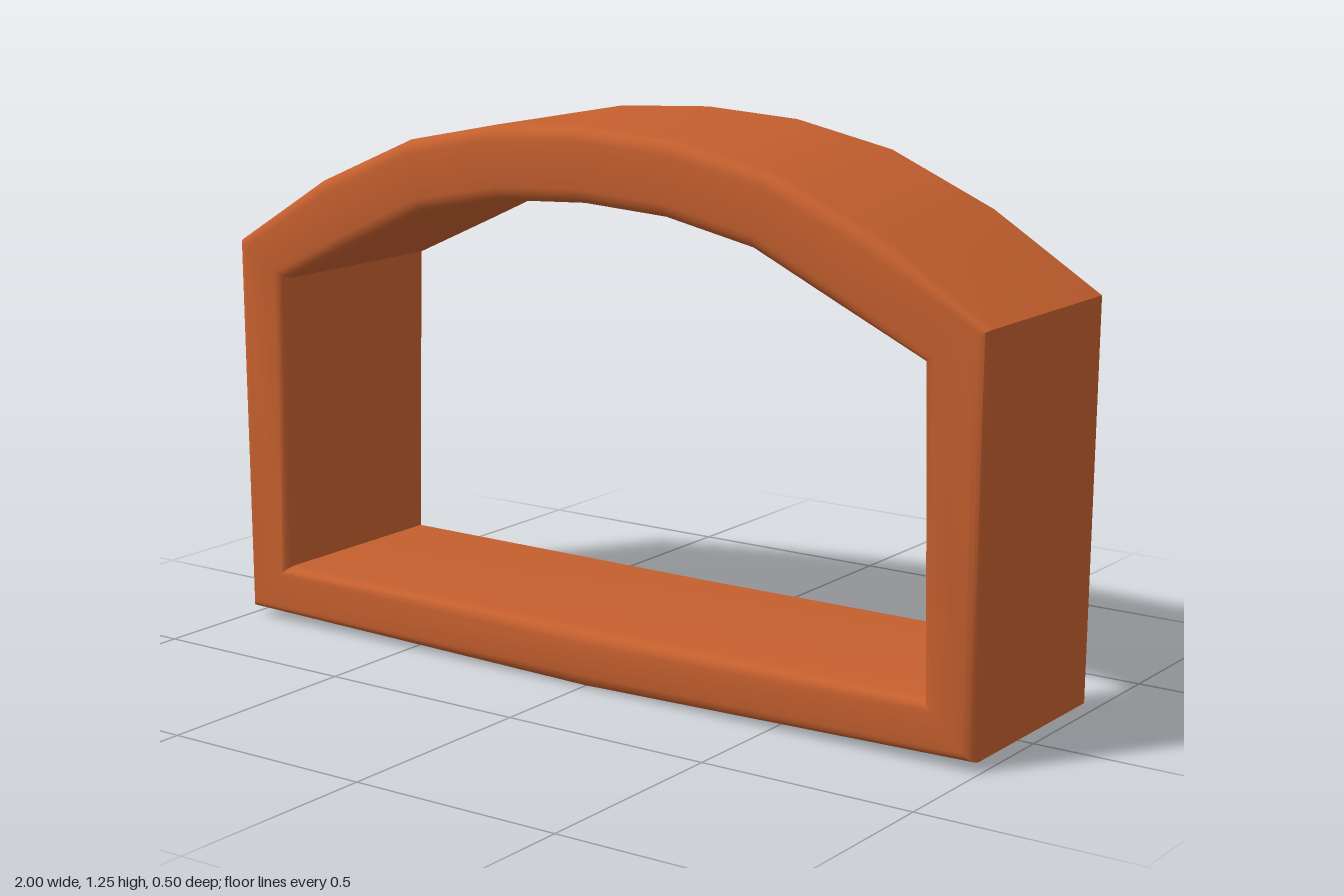
import * as THREE from 'three';
import { toCreasedNormals } from 'three/addons/utils/BufferGeometryUtils.js';

// Right half of the outline as [outer x, outer y, inner x, inner y], bottom to top
const half = [
  [0, 0.003, 0, 0.137],
  [0.99, 0.023, 0.87, 0.14],
  [1.0, 0.92, 0.853, 0.84],
  [0.74, 1.08, 0.645, 0.935],
  [0.485, 1.19, 0.44, 1.03],
  [0.24, 1.24, 0.22, 1.075],
  [0, 1.253, 0, 1.087],
];
const DEPTH = 0.25; // half depth
const BEVEL = 0.032;
const STEPS = 4;

// Cross-section as [distance in from an edge, z, edge side]: rounded front, sharp back
function section() {
  const outer = [[0, -DEPTH, 0]];
  for (let k = 0; k <= STEPS; k++) {
    const a = (k / STEPS) * Math.PI / 2;
    outer.push([BEVEL * (1 - Math.cos(a)), DEPTH - BEVEL * (1 - Math.sin(a)), 0]);
  }
  const inner = outer.map(([d, z]) => [d, z, 1]).reverse();
  return [...outer, ...inner];
}

// Sweep the section round the closed outline, mitred at each corner
function frameGeometry() {
  const mirrored = half.slice(1, -1).reverse().map(([a, b, c, d]) => [-a, b, -c, d]);
  const outline = [...half, ...mirrored];
  const ring = section();
  const positions = [];
  const index = [];
  const n = outline.length, m = ring.length;
  outline.forEach(([ox, oy, ix, iy], i) => {
    const width = Math.hypot(ix - ox, iy - oy);
    ring.forEach(([d, z, side], j) => {
      const t = side ? 1 - d / width : d / width;
      positions.push(ox + (ix - ox) * t, oy + (iy - oy) * t, z);
      const i2 = (i + 1) % n, j2 = (j + 1) % m;
      const a = i * m + j, b = i2 * m + j, c = i2 * m + j2, e = i * m + j2;
      index.push(a, b, c, a, c, e);
    });
  });
  const geometry = new THREE.BufferGeometry();
  geometry.setAttribute('position', new THREE.Float32BufferAttribute(positions, 3));
  geometry.setIndex(index);
  return toCreasedNormals(geometry, 0.7);
}

export function createModel() {
  const group = new THREE.Group();
  group.name = 'archedFrame';
  const terracotta = new THREE.MeshStandardMaterial({ color: 0xc45f2e });
  terracotta.name = 'terracotta';
  const frame = new THREE.Mesh(frameGeometry(), terracotta);
  frame.name = 'frame';
  group.add(frame);
  return group;
}
